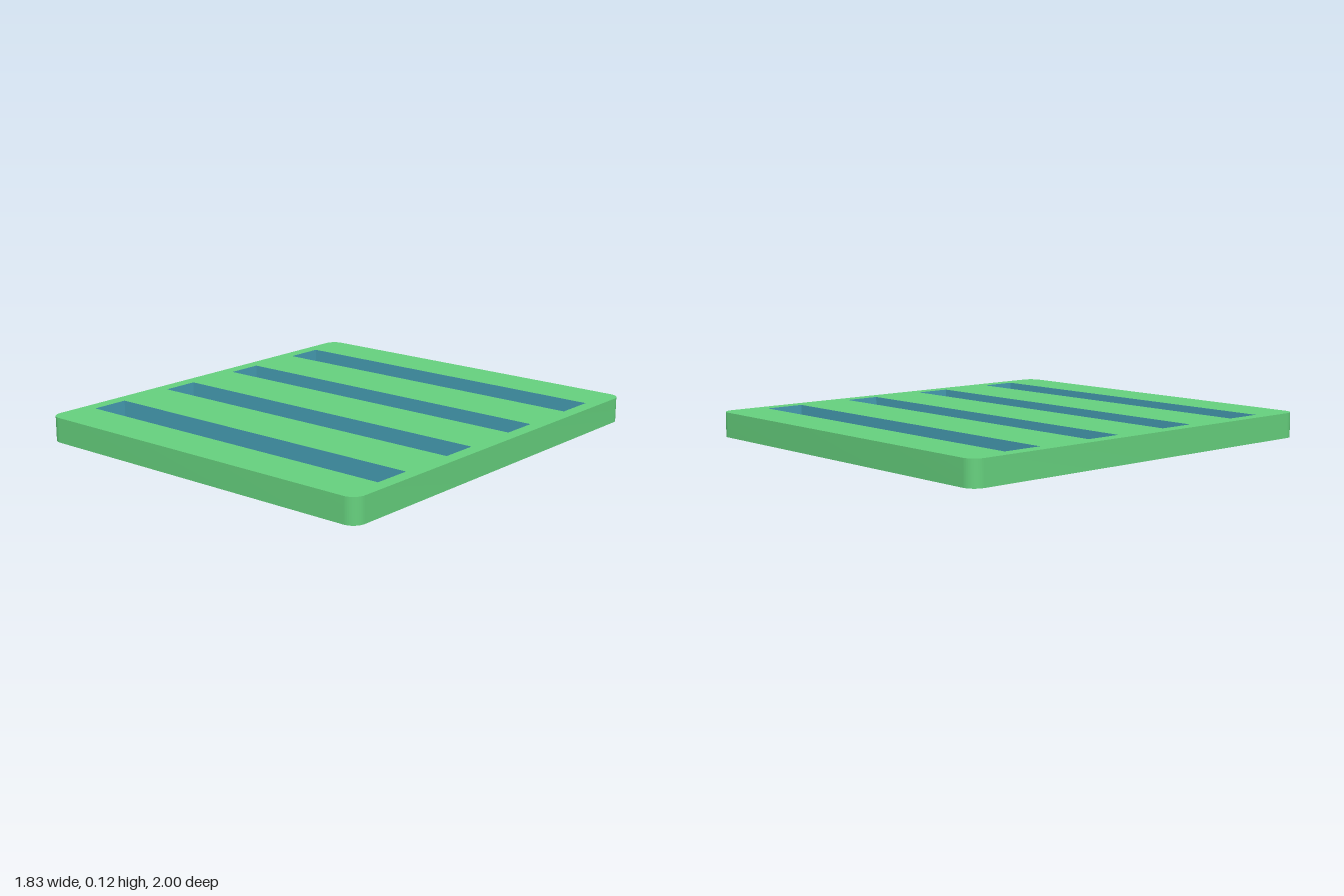
import * as THREE from 'three';
import { toCreasedNormals } from 'three/addons/utils/BufferGeometryUtils.js';

const HALF_W = 0.913, HALF_D = 1, HEIGHT = 0.118, RADIUS = 0.06;
const SLOT_HALF_W = 0.85, SLOT_FLOOR = 0.01;
// Front-to-back extent (z) of each slot
const SLOTS = [[-0.78, -0.588], [-0.31, -0.133], [0.146, 0.325], [0.602, 0.784]];

function plateOutline() {
  const s = new THREE.Shape(), w = HALF_W, d = HALF_D, r = RADIUS;
  s.moveTo(w, r - d);
  s.lineTo(w, d - r);
  s.absarc(w - r, d - r, r, 0, Math.PI / 2);
  s.absarc(r - w, d - r, r, Math.PI / 2, Math.PI);
  s.absarc(r - w, r - d, r, Math.PI, Math.PI * 1.5);
  s.absarc(w - r, r - d, r, Math.PI * 1.5, Math.PI * 2);
  return s;
}

// Side wall of the plate: the extrusion without its end caps
function rimGeometry() {
  const solid = new THREE.ExtrudeGeometry(plateOutline(), { depth: HEIGHT, bevelEnabled: false, curveSegments: 10 });
  const { start, count } = solid.groups[1];
  const wall = new THREE.BufferGeometry();
  const corners = solid.attributes.position.array.slice(start * 3, (start + count) * 3);
  wall.setAttribute('position', new THREE.BufferAttribute(corners, 3));
  return toCreasedNormals(wall, Math.PI / 6).rotateX(-Math.PI / 2);
}

// Open-topped box whose faces point inwards
function pocketGeometry(width, height, depth) {
  const box = new THREE.BoxGeometry(width, height, depth);
  const index = Array.from(box.index.array);
  index.splice(box.groups[2].start, box.groups[2].count); // remove the top
  box.setIndex(index);
  box.clearGroups();
  box.scale(-1, 1, 1); // mirror to turn the faces inwards
  box.computeVertexNormals();
  return box;
}

export function createModel() {
  const model = new THREE.Group();
  model.name = 'slottedPlate';
  const green = new THREE.MeshStandardMaterial({ color: 0x66d17e });
  const blue = new THREE.MeshStandardMaterial({ color: 0x479fb5 });
  const add = (name, geometry, material) => {
    const mesh = new THREE.Mesh(geometry, material);
    mesh.name = name;
    model.add(mesh);
    return mesh;
  };

  // Top face with the slot openings
  const top = plateOutline();
  for (const [z0, z1] of SLOTS) {
    const x = SLOT_HALF_W;
    top.holes.push(new THREE.Path([[-x, -z0], [x, -z0], [x, -z1], [-x, -z1]].map(p => new THREE.Vector2(...p))));
  }
  add('plateTop', new THREE.ShapeGeometry(top, 10).rotateX(-Math.PI / 2), green).position.y = HEIGHT;

  // Rounded rim and solid underside
  add('plateRim', rimGeometry(), green);
  add('plateUnderside', new THREE.ShapeGeometry(plateOutline(), 10).rotateX(Math.PI / 2), green);

  // Lined slots
  SLOTS.forEach(([z0, z1], i) => {
    const slot = add(`slot${i + 1}`, pocketGeometry(2 * SLOT_HALF_W, HEIGHT - SLOT_FLOOR, z1 - z0), blue);
    slot.position.set(0, (HEIGHT + SLOT_FLOOR) / 2, (z0 + z1) / 2);
  });

  return model;
}
